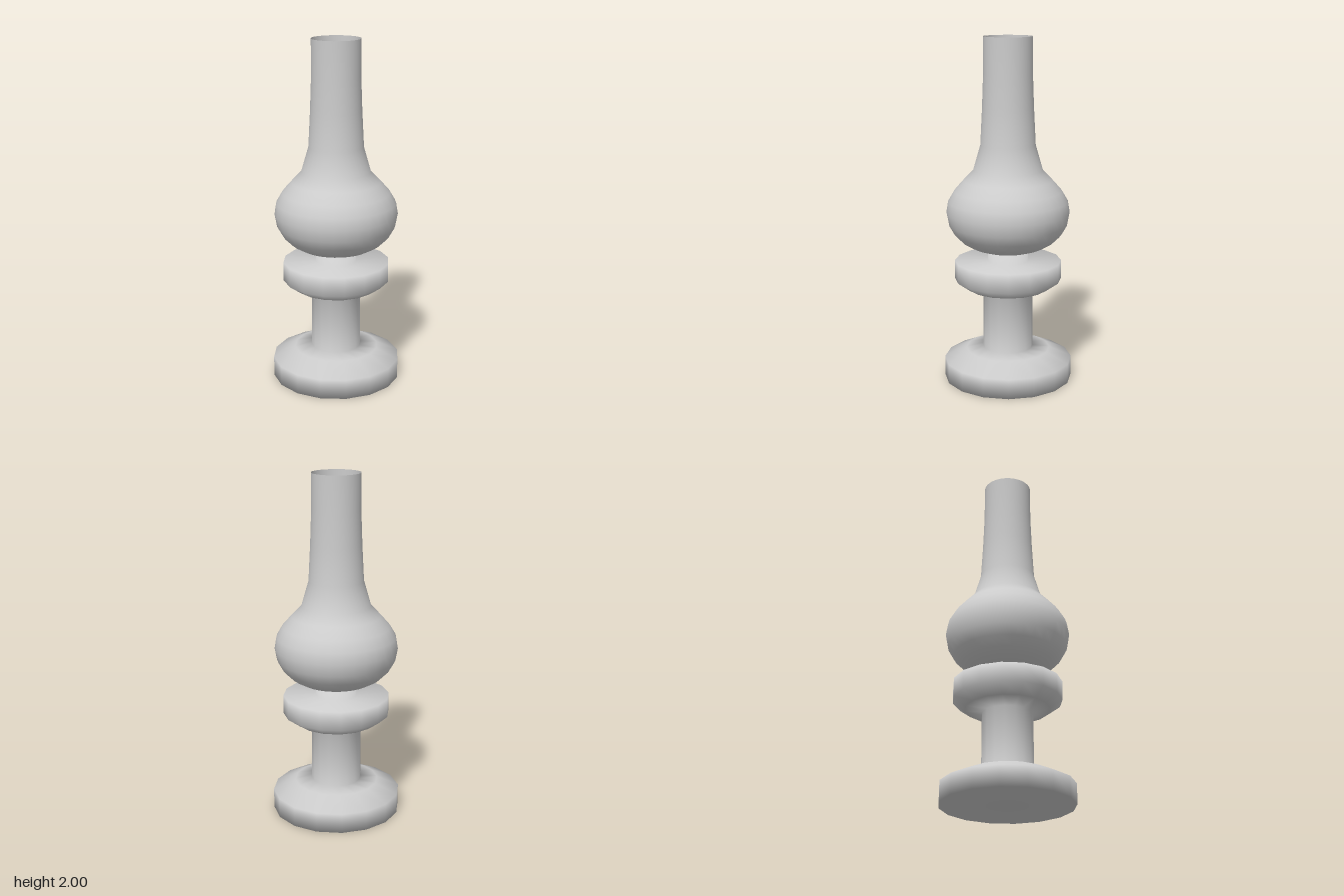
import * as THREE from 'three';

// Turned part from [radius, height] pairs, listed from bottom to top
function turned(name, profile, sides, side = THREE.FrontSide) {
  const points = profile.map(([r, y]) => new THREE.Vector2(r, y));
  const material = new THREE.MeshStandardMaterial({ color: 0xcccccc, side });
  const mesh = new THREE.Mesh(new THREE.LatheGeometry(points, sides), material);
  mesh.name = name;
  return mesh;
}

export function createModel() {
  const lamp = new THREE.Group();
  lamp.name = 'oilLamp';

  // Foot, stem, saucer-shaped reservoir and burner neck in one turned body
  lamp.add(turned('lampBody', [
    [0, 0], [0.375, 0], [0.375, 0.115], [0.245, 0.175], [0.145, 0.185],
    [0.145, 0.525], [0.24, 0.55], [0.31, 0.6], [0.31, 0.71],
    [0.118, 0.71], [0.118, 0.785], [0, 0.785],
  ], 16));

  // Thin glass chimney, open at the top, with a bulb around the burner
  lamp.add(turned('glassChimney', [
    [0.115, 0.775], [0.15, 0.777], [0.21, 0.797], [0.265, 0.828], [0.31, 0.872],
    [0.343, 0.93], [0.356, 1], [0.345, 1.065], [0.31, 1.125], [0.255, 1.187],
    [0.2, 1.245], [0.158, 1.39], [0.147, 1.6], [0.14, 1.79], [0.14, 2],
  ], 32, THREE.DoubleSide));

  return lamp;
}
